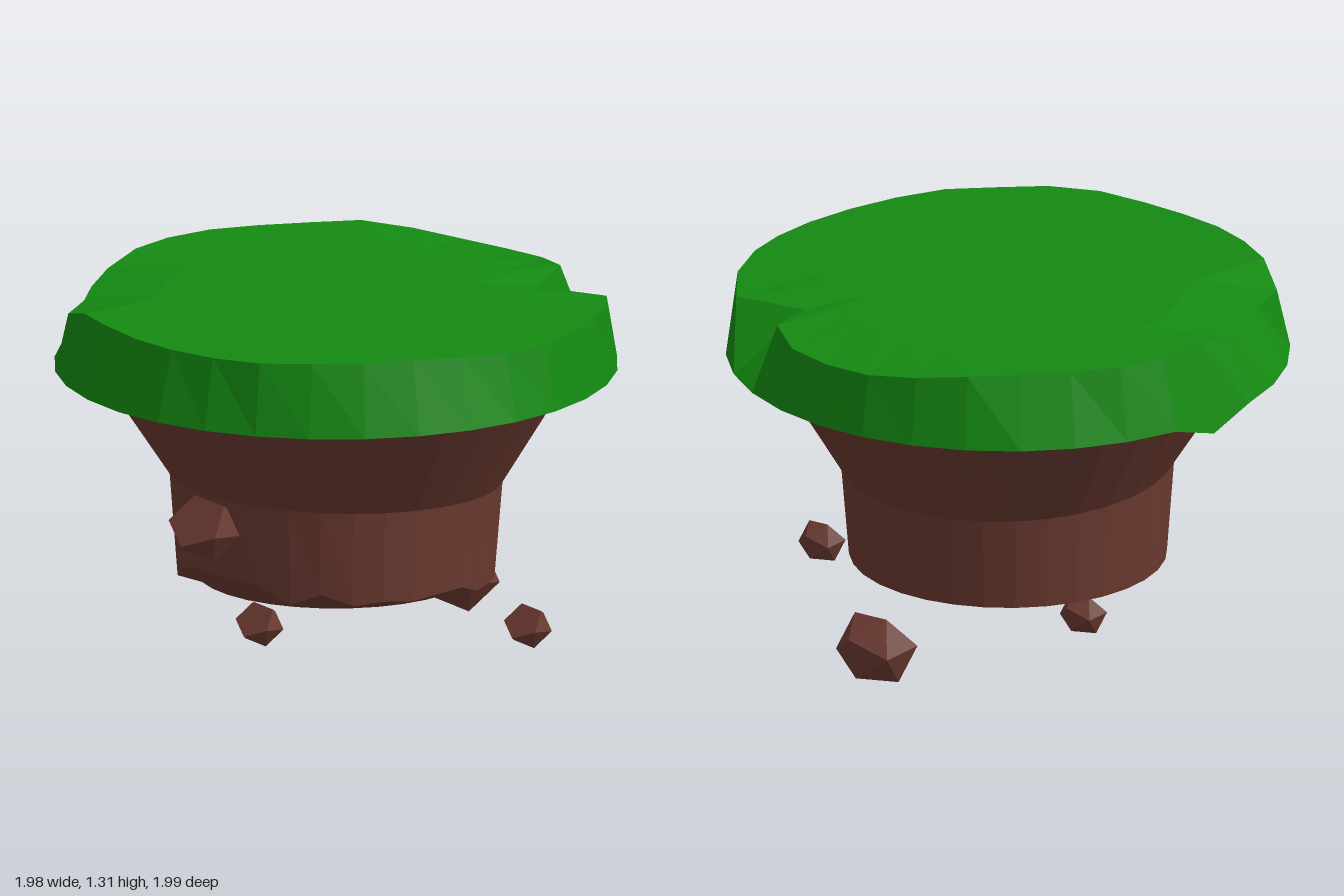
import * as THREE from 'three';
import { ConvexGeometry } from 'three/addons/geometries/ConvexGeometry.js';

const SIDES = 32;

// Flat-shaded skin through rings listed from top to bottom; each ring maps k to [radius, y]
function loft(rings) {
  const pos = [];
  const point = (ring, k) => {
    const [r, y] = ring(k % SIDES);
    const a = (k / SIDES) * Math.PI * 2;
    return new THREE.Vector3(r * Math.cos(a), y, r * Math.sin(a));
  };
  const tri = (a, b, c) => {
    const area = b.clone().sub(a).cross(c.clone().sub(a)).length();
    if (area > 1e-7) for (const p of [a, b, c]) pos.push(p.x, p.y, p.z);
  };
  for (let i = 0; i < rings.length - 1; i++) {
    for (let k = 0; k < SIDES; k++) {
      const a = point(rings[i], k), b = point(rings[i], k + 1);
      const c = point(rings[i + 1], k), d = point(rings[i + 1], k + 1);
      tri(a, b, c);
      tri(b, d, c);
    }
  }
  const geo = new THREE.BufferGeometry();
  geo.setAttribute('position', new THREE.Float32BufferAttribute(pos, 3));
  geo.computeVertexNormals();
  return geo;
}

// Gem-like rock: an icosahedron with its upper front corner sliced off flat
function rockGeometry() {
  const pts = [new THREE.Vector3(0, -1, 0)];
  for (let i = 0; i < 5; i++) {
    const a = (i / 5) * Math.PI * 2 - 0.15;
    const b = a + Math.PI / 5;
    pts.push(new THREE.Vector3(0.894 * Math.sin(a), 0.447, 0.894 * Math.cos(a)));
    pts.push(new THREE.Vector3(0.894 * Math.sin(b), -0.447, 0.894 * Math.cos(b)));
  }
  return new ConvexGeometry(pts).rotateX(0.9).scale(1.12, 1, 1);
}

export function createModel() {
  const model = new THREE.Group();
  model.name = 'floatingIsland';
  const grass = new THREE.MeshStandardMaterial({ color: 0x148a12, flatShading: true });
  const soil = new THREE.MeshStandardMaterial({ color: 0x6b3a30, flatShading: true });
  const add = (name, geo, mat) => {
    const mesh = new THREE.Mesh(geo, mat);
    mesh.name = name;
    model.add(mesh);
    return mesh;
  };

  // Grass slab with a chipped upper rim, one notch and one drooping corner
  const rimR = [
    0.95, 0.94, 0.93, 0.925, 0.93, 0.94, 0.95, 0.93, 0.92, 0.92, 0.92, 0.93, 0.95, 0.89, 0.9, 0.91,
    0.91, 0.93, 0.935, 0.92, 0.92, 0.95, 0.955, 0.955, 0.95, 0.945, 0.9, 0.74, 0.96, 0.965, 0.95, 0.95];
  const rimY = [
    1.265, 1.27, 1.28, 1.29, 1.285, 1.29, 1.285, 1.28, 1.28, 1.285, 1.29, 1.29, 1.24, 1.24, 1.24, 1.26,
    1.29, 1.29, 1.29, 1.29, 1.29, 1.29, 1.27, 1.25, 1.245, 1.25, 1.27, 1.25, 1.25, 1.27, 1.28, 1.27];
  add('grassTop', loft([
    () => [0, 1.28],
    (k) => [rimR[k] * 0.7, 1.28],
    (k) => [rimR[k], rimY[k]],
    (k) => (k === 16 ? [0.985, 0.97] : [0.997, 1.03]),
    () => [0.82, 1.03],
    () => [0, 1.03],
  ]), grass);

  // Soil: funnel above a short stump whose lower edge is broken along the front and left
  const brokenY = [0.31, 0.31, 0.3, 0.31, 0.3, 0.34, 0.3, 0.35, 0.365, 0.365, 0.36, 0.33];
  add('soilBase', loft([
    () => [0, 1.03],
    () => [0.845, 1.03],
    (k) => [0.59, 0.625 + 0.025 * Math.sin((k / SIDES) * Math.PI * 2)],
    (k) => [k < brokenY.length ? 0.574 : 0.562, brokenY[k] ?? 0.27],
    (k) => [k < brokenY.length ? 0.495 : 0.54, 0.27],
    () => [0, 0.27],
  ]), soil);

  // Loose rocks around the base: x, y, z, radius
  const rock = rockGeometry();
  const rocks = [
    [0.118, 0.64, 0.884, 0.12],
    [-0.012, 0.108, -0.7, 0.14],
    [-0.242, 0.06, 0.13, 0.081],
    [0.738, 0.163, -0.165, 0.081],
  ];
  rocks.forEach(([x, y, z, r], i) => {
    const mesh = add('looseRock' + (i + 1), rock, soil);
    mesh.position.set(x, y, z);
    mesh.scale.setScalar(r);
  });
  return model;
}
